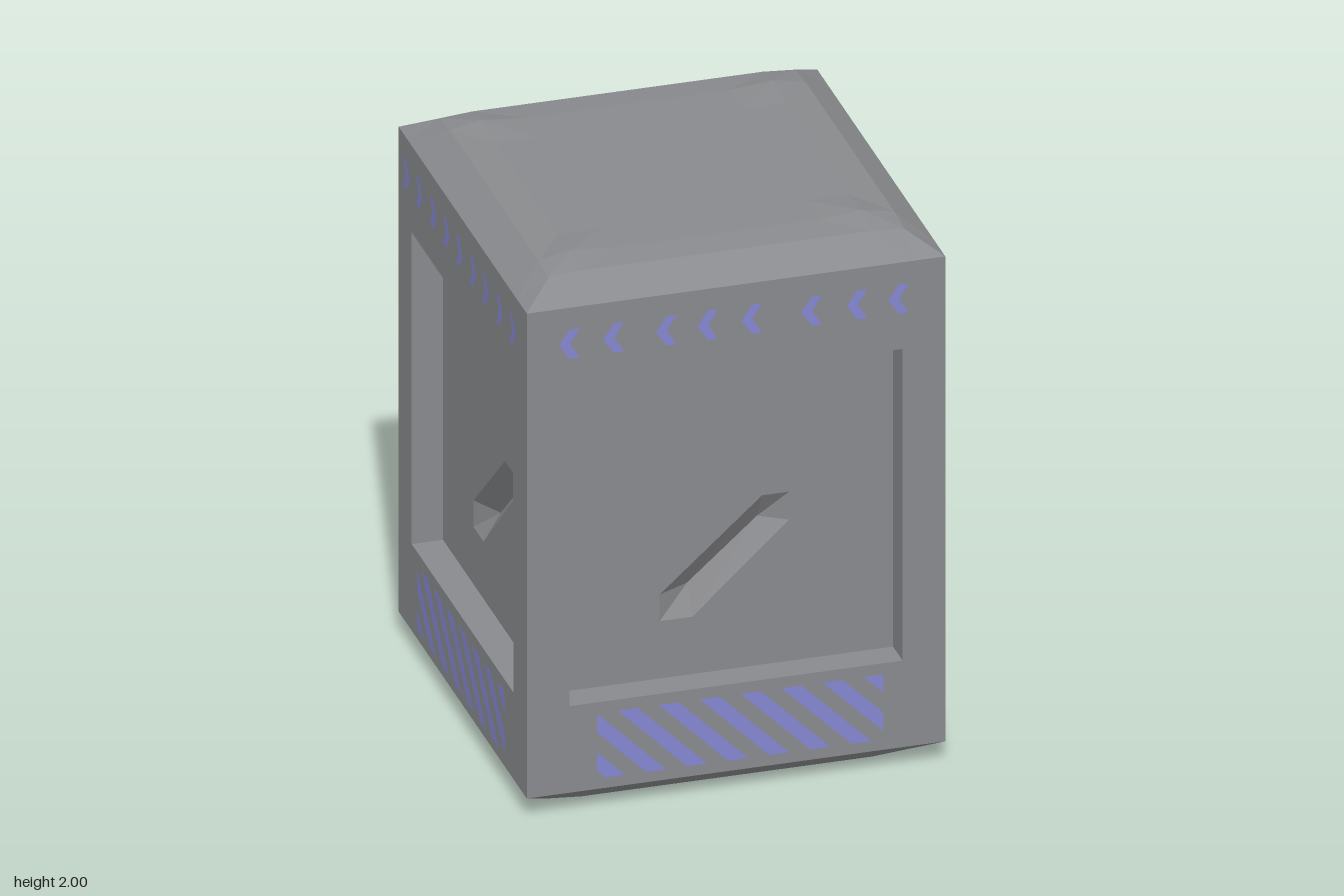
import * as THREE from 'three';

const W = 0.735, IN = 0.585, Y0 = 0.08, Y1 = 1.9, H0 = 0.405, H1 = 1.575, DEPTH = 0.11;

// Flat-shaded geometry from a list of triangles of [x, y, z] points
function fromTriangles(tris) {
  const g = new THREE.BufferGeometry();
  g.setAttribute('position', new THREE.Float32BufferAttribute(tris.flat(2), 3));
  g.computeVertexNormals();
  return g;
}

const shapeOf = (pts) => new THREE.Shape(pts.map(([x, y]) => new THREE.Vector2(x, y)));
const rect = (w, a, b) => [[-w, a], [w, a], [w, b], [-w, b]];

// Shape with one hole, placed at depth z
function holed(outer, inner, z) {
  const s = shapeOf(outer);
  s.holes.push(shapeOf(inner));
  return new THREE.ShapeGeometry(s).translate(0, 0, z);
}

// Cut a polygon at u = limit, keeping the side where sign * (u - limit) >= 0
function cut(pts, limit, sign) {
  const out = [];
  pts.forEach((p, i) => {
    const q = pts[(i + 1) % pts.length];
    const a = sign * (p[0] - limit), b = sign * (q[0] - limit);
    if (a >= 0) out.push(p);
    if (a * b < 0) {
      const t = a / (a - b);
      out.push([limit, p[1] + t * (q[1] - p[1])]);
    }
  });
  return out;
}

// Bevelled cap with slightly raised corners; dir is 1 for top, -1 for bottom
function capGeometry(dir) {
  const c = [-W, -0.625, -0.51, -0.36, 0.36, 0.51, 0.625, W];
  const height = (x, z) => {
    const a = Math.max(Math.abs(x), Math.abs(z)), b = Math.min(Math.abs(x), Math.abs(z));
    if (a > 0.7) return 0;
    if (a > 0.6) return b > 0.6 ? 0.068 : 0.077;
    return a > 0.5 && b > 0.5 ? 0.1 : 0.086;
  };
  const point = (x, z) => {
    const h = height(x, z);
    return [x, dir > 0 ? Y1 + h : Y0 - Math.min(h, 0.08), z];
  };
  const tris = [];
  for (let i = 0; i < 7; i++) for (let j = 0; j < 7; j++) {
    const p = point(c[i], c[j]), q = point(c[i], c[j + 1]);
    const r = point(c[i + 1], c[j + 1]), s = point(c[i + 1], c[j]);
    // diagonals run outwards so that the corners are mitred
    const pair = (i - 3) * (j - 3) >= 0 ? [[p, q, r], [p, r, s]] : [[p, q, s], [q, r, s]];
    pair.forEach((t) => tris.push(dir > 0 ? t : t.reverse()));
  }
  return fromTriangles(tris);
}

// Straight walls around the recess
function recessWalls() {
  const loop = rect(IN, H0, H1), tris = [];
  loop.forEach((p, i) => {
    const q = loop[(i + 1) % 4];
    const a = [...p, W], b = [...q, W], c = [...q, W - DEPTH], d = [...p, W - DEPTH];
    tris.push([a, b, c], [a, c, d]);
  });
  return fromTriangles(tris);
}

// Diagonal V-shaped groove
const rim = [[-0.235, 0.62], [-0.12, 0.62], [0.22, 0.935], [0.22, 1.04], [0.125, 1.04], [-0.235, 0.72]];
function grooveGeometry() {
  const z = W - DEPTH;
  const [A, B, C, D, E, F] = rim.map((p) => [...p, z]);
  const P = [-0.12, 0.72, z - 0.06], Q = [0.125, 0.935, z - 0.06];
  return fromTriangles([[A, B, P], [B, C, Q], [B, Q, P], [C, D, Q], [D, E, Q], [E, F, P], [E, P, Q], [F, A, P]]);
}

// Painted chevron pointing left
const chevron = (u) => [[0.035, 0.055], [0, 0.055], [-0.037, 0], [0, -0.055], [0.035, -0.055], [0.002, 0]]
  .map(([x, y]) => [x + u, y + 1.765]);

// Painted hazard stripe; lean 1 runs down to the right, -1 down to the left
function stripe(u, lean) {
  const top = 0.365, bottom = 0.12, w = 0.035, run = lean * (top - bottom);
  const band = [[u - w, top], [u + w, top], [u + run + w, bottom], [u + run - w, bottom]];
  return cut(cut(band, -0.49, 1), 0.515, -1);
}

export function createModel() {
  const metal = new THREE.MeshStandardMaterial({ color: 0x898a8d });
  metal.name = 'grey metal';
  const paint = new THREE.MeshStandardMaterial({ color: 0x8486d2 });
  paint.name = 'violet paint';

  const model = new THREE.Group();
  model.name = 'crate';
  const add = (parent, name, geometry, material) => {
    const mesh = new THREE.Mesh(geometry, material);
    mesh.name = name;
    parent.add(mesh);
  };

  add(model, 'topCap', capGeometry(1), metal);
  add(model, 'bottomCap', capGeometry(-1), metal);

  const frontMarks = {
    chevrons: [-0.585, -0.43, -0.245, -0.1, 0.055, 0.265, 0.425, 0.57], start: -0.67, lean: 1,
  };
  const sideMarks = {
    chevrons: [-0.58, -0.43, -0.27, -0.125, 0.03, 0.18, 0.33, 0.49, 0.64], start: -0.435, lean: -1,
  };
  // Opposite sides carry mirrored markings
  const sides = [
    ['front', 0, frontMarks, 1], ['right', Math.PI / 2, sideMarks, 1],
    ['back', Math.PI, frontMarks, -1], ['left', -Math.PI / 2, sideMarks, -1],
  ];

  for (const [name, turn, marks, flip] of sides) {
    const side = new THREE.Group();
    side.name = name + 'Side';
    side.rotation.y = turn;
    model.add(side);

    add(side, 'frame', holed(rect(W, Y0, Y1), rect(IN, H0, H1), W), metal);
    add(side, 'recessWalls', recessWalls(), metal);
    add(side, 'panel', holed(rect(IN, H0, H1), rim, W - DEPTH), metal);
    add(side, 'groove', grooveGeometry(), metal);

    const painted = (pts) => shapeOf(pts.map(([u, y]) => [u * flip, y]));
    const decal = (shapes) => new THREE.ShapeGeometry(shapes).translate(0, 0, W + 0.003);
    add(side, 'chevrons', decal(marks.chevrons.map((u) => painted(chevron(u)))), paint);
    const stripes = Array.from({ length: 9 }, (_, k) => stripe(marks.start + k * 0.144, marks.lean));
    add(side, 'hazardStripes', decal(stripes.filter((p) => p.length > 2).map(painted)), paint);
  }
  return model;
}
